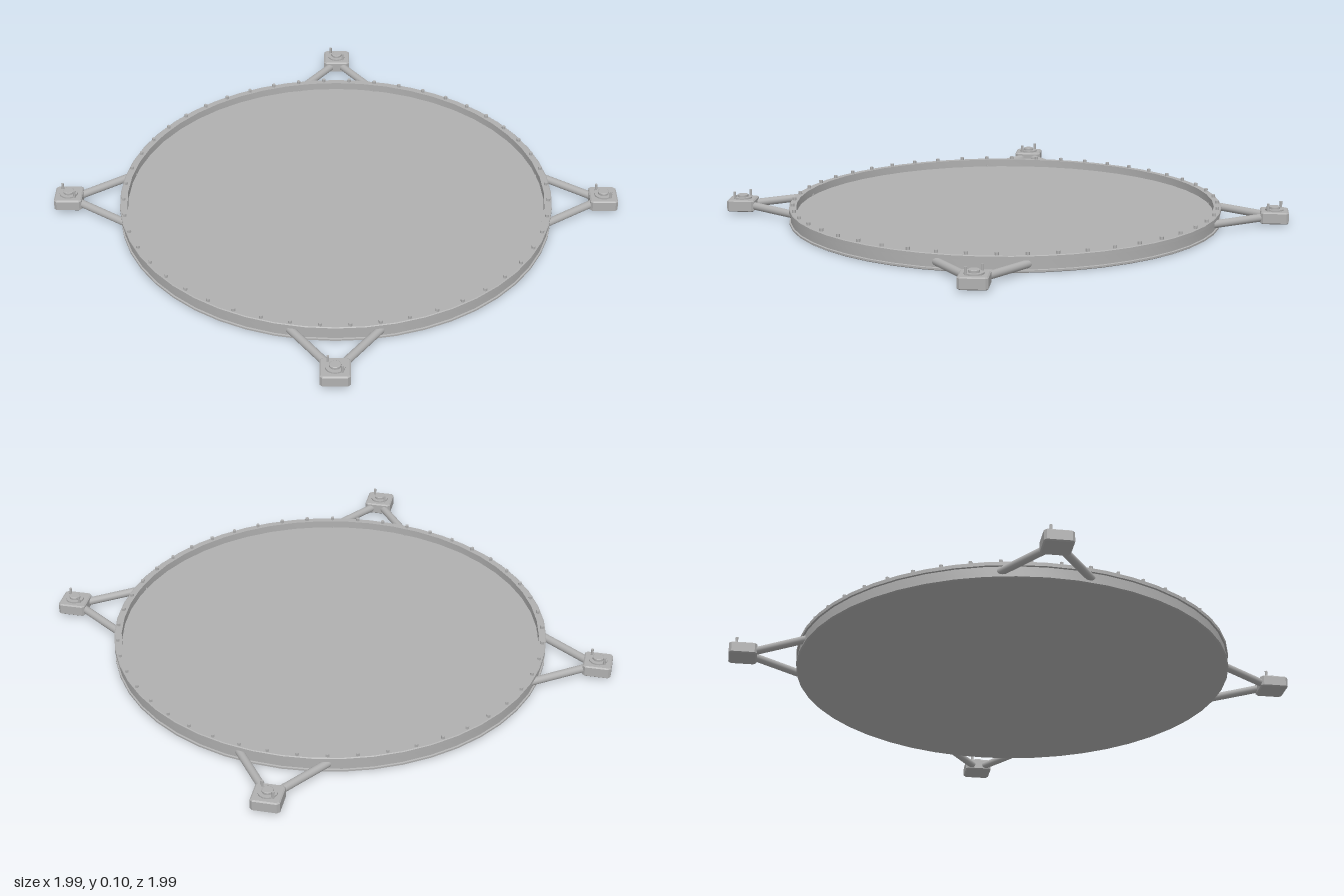
import * as THREE from 'three';
import { toCreasedNormals } from 'three/addons/utils/BufferGeometryUtils.js';

export function createModel() {
  const model = new THREE.Group();
  const gray = new THREE.MeshStandardMaterial({ color: 0xb0b0b0 });
  gray.name = 'metal gray';

  const add = (parent, name, geometry, x = 0, y = 0, z = 0) => {
    const mesh = new THREE.Mesh(geometry, gray);
    mesh.name = name;
    mesh.position.set(x, y, z);
    parent.add(mesh);
    return mesh;
  };
  const lathe = (points, sides) => toCreasedNormals(
    new THREE.LatheGeometry(points.map(([r, y]) => new THREE.Vector2(r, y)), sides), 0.4);

  // Shallow round tray with a grooved side wall and raised rim
  add(model, 'tray', lathe([
    [0, 0], [0.988, 0], [0.995, 0.004], [0.995, 0.012], [0.988, 0.014],
    [0.988, 0.054], [0.996, 0.056], [0.996, 0.072], [0.992, 0.075],
    [0.962, 0.075], [0.962, 0.04], [0, 0.04],
  ], 48));

  // Ring of small hexagonal bolts
  const boltGeometry = toCreasedNormals(new THREE.CylinderGeometry(0.009, 0.009, 0.014, 6), 0.4);
  const bolts = new THREE.Group();
  bolts.name = 'rimBolts';
  for (let i = 0; i < 48; i++) {
    const a = (i + 0.5) / 48 * Math.PI * 2;
    add(bolts, 'rimBolt', boltGeometry, Math.cos(a) * 0.979, 0.081, Math.sin(a) * 0.979);
  }
  model.add(bolts);

  // Mount block: square with cut corners and bevelled edges
  const h = 0.058, c = 0.05;
  const outline = new THREE.Shape([
    [h, -c], [h, c], [c, h], [-c, h], [-h, c], [-h, -c], [-c, -h], [c, -h],
  ].map(([x, y]) => new THREE.Vector2(x, y)));
  const blockGeometry = new THREE.ExtrudeGeometry(outline, {
    depth: 0.044, bevelEnabled: true, bevelThickness: 0.005, bevelSize: 0.006, bevelSegments: 1,
  });
  blockGeometry.rotateX(-Math.PI / 2);
  blockGeometry.rotateY(Math.PI / 4);

  // Stepped boss on each block
  const bossGeometry = lathe([
    [0.042, 0.064], [0.042, 0.072], [0.025, 0.072], [0.025, 0.082], [0.022, 0.084], [0, 0.084],
  ], 24);
  const pinGeometry = toCreasedNormals(new THREE.CylinderGeometry(0.006, 0.006, 0.034, 10), 0.4);

  // Round strut between two points in the ground plane
  const strut = (parent, x1, z1, x2, z2) => {
    const a = new THREE.Vector3(x1, 0.036, z1), b = new THREE.Vector3(x2, 0.036, z2);
    const dir = b.clone().sub(a);
    const mesh = add(parent, 'strut', new THREE.CylinderGeometry(0.018, 0.018, dir.length(), 16));
    mesh.position.copy(a).add(b).multiplyScalar(0.5);
    mesh.quaternion.setFromUnitVectors(new THREE.Vector3(0, 1, 0), dir.normalize());
  };

  // Four corner mounts
  for (const sx of [-1, 1]) for (const sz of [-1, 1]) {
    const mount = new THREE.Group();
    mount.name = 'cornerMount';
    const x = 0.875 * sx, z = 0.875 * sz;
    add(mount, 'mountBlock', blockGeometry, x, 0.016, z);
    add(mount, 'boss', bossGeometry, x, 0, z);
    for (const side of [-1, 1]) add(mount, 'pin', pinGeometry, x + side * 0.043, 0.083, z);
    strut(mount, 0.865 * sx, 0.868 * sz, 0.53 * sx, 0.81 * sz);
    strut(mount, 0.868 * sx, 0.865 * sz, 0.81 * sx, 0.53 * sz);
    model.add(mount);
  }
  return model;
}
